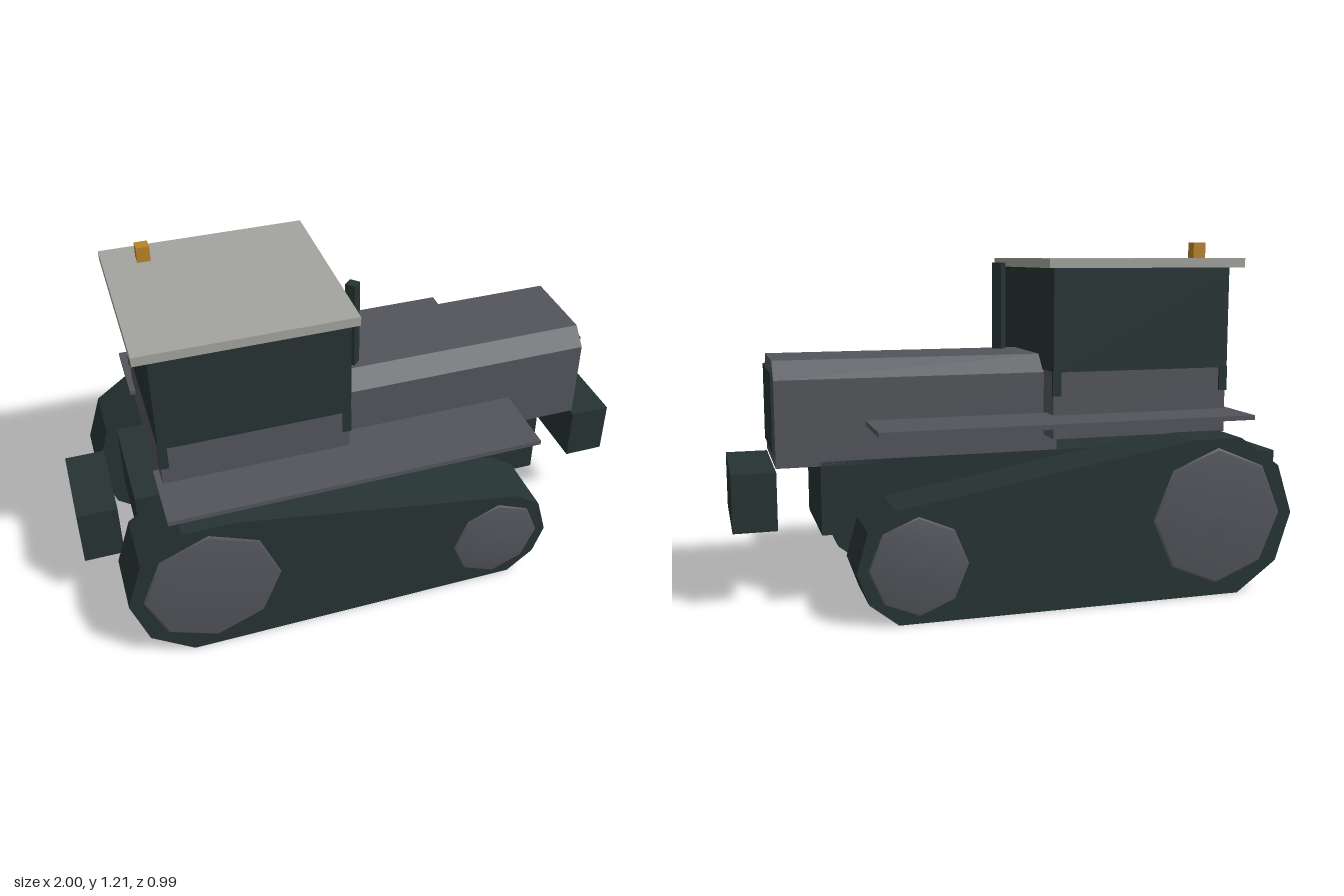
import * as THREE from 'three';

export function createModel() {
  const root = new THREE.Group();
  root.name = 'crawlerTractor';

  const mat = (name, color) => {
    const m = new THREE.MeshStandardMaterial({ color });
    m.name = name;
    return m;
  };
  const dark = mat('darkRubberAndGlass', 0x263333);
  const grey = mat('greyBodywork', 0x53555b);
  const pale = mat('paleRoof', 0xa3a39f);
  const amber = mat('amberBeacon', 0xb9842a);

  const add = (name, geometry, material, parent = root) => {
    const mesh = new THREE.Mesh(geometry, material);
    mesh.name = name;
    parent.add(mesh);
    return mesh;
  };
  // Box given by its limits on each axis
  const box = (name, material, [x0, x1], [y0, y1], [z0, z1]) =>
    add(name, new THREE.BoxGeometry(x1 - x0, y1 - y0, z1 - z0)
      .translate((x0 + x1) / 2, (y0 + y1) / 2, (z0 + z1) / 2), material);
  const shapeOf = (points) => new THREE.Shape(points.map(([x, y]) => new THREE.Vector2(x, y)));

  // Chassis and weights
  box('chassis', dark, [-0.8, 0.71], [0.245, 0.495], [-0.2, 0.2]);
  box('frontWeight', dark, [0.855, 1], [0.275, 0.47], [-0.215, 0.215]);
  box('rearWeight', dark, [-1, -0.86], [0.23, 0.44], [-0.163, 0.163]);

  // Hood with chamfered shoulders, extruded along x
  const hood = new THREE.ExtrudeGeometry(shapeOf([
    [-0.2, 0.48], [0.2, 0.48], [0.2, 0.77], [0.145, 0.83], [-0.145, 0.83], [-0.2, 0.77],
  ]), { depth: 0.97, bevelEnabled: false });
  hood.rotateY(Math.PI / 2).translate(-0.115, 0, 0);
  add('hood', hood, grey);
  box('grille', dark, [0.854, 0.863], [0.525, 0.793], [-0.17, 0.17]);

  // Cab
  box('cabBase', grey, [-0.71, -0.067], [0.55, 0.78], [-0.305, 0.305]);
  box('cabGlass', dark, [-0.712, -0.065], [0.78, 1.13], [-0.312, 0.312]);
  box('cabRoof', pale, [-0.76, -0.042], [1.13, 1.162], [-0.335, 0.335]);
  for (const s of [-1, 1]) {
    const z = s > 0 ? [0.3, 0.312] : [-0.312, -0.3];
    box('rearPillarFoot', dark, [-0.714, -0.684], [0.698, 0.785], z);
    box('frontPillarFoot', dark, [-0.093, -0.063], [0.698, 0.785], z);
  }
  box('beacon', amber, [-0.645, -0.6], [1.16, 1.217], [-0.257, -0.214]);

  // Four-sided exhaust stack
  const stack = new THREE.CylinderGeometry(0.026, 0.026, 0.4, 4).toNonIndexed();
  stack.computeVertexNormals();
  add('exhaustStack', stack.translate(0.007, 0.945, 0.107), dark);

  // Track outline, side view
  const track = shapeOf([
    [-0.69, 0.005], [0.505, 0.005], [0.6, 0.08], [0.637, 0.185], [0.6, 0.315], [0.51, 0.378],
    [-0.51, 0.553], [-0.69, 0.553], [-0.835, 0.45], [-0.89, 0.28], [-0.835, 0.11],
  ]);
  // Shallow eight-sided dome facing +z or -z
  const wheelDome = (radius, side) => {
    const profile = [[1, 0], [0.96, 0.006], [0.5, 0.015], [0, 0.018]]
      .map(([r, h]) => new THREE.Vector2(r * radius, h));
    return new THREE.LatheGeometry(profile, 8).rotateX(side * Math.PI / 2);
  };

  // Tracks, wheels and fenders on both sides
  for (const s of [-1, 1]) {
    const unit = new THREE.Group();
    unit.name = s > 0 ? 'leftZTrackUnit' : 'rightZTrackUnit';
    root.add(unit);
    const belt = new THREE.ExtrudeGeometry(track, { depth: 0.225, bevelEnabled: false });
    add('track', belt.translate(0, 0, s > 0 ? 0.25 : -0.475), dark, unit);
    for (const [name, x, y, r] of [['driveWheel', -0.605, 0.285, 0.237], ['idlerWheel', 0.438, 0.192, 0.163]]) {
      add(name, wheelDome(r, s).translate(x, y, s * 0.4755), grey, unit);
    }
    box('fender', grey, [-0.73, 0.563], [0.616, 0.632], s > 0 ? [0.23, 0.49] : [-0.49, -0.23]);
  }

  return root;
}
